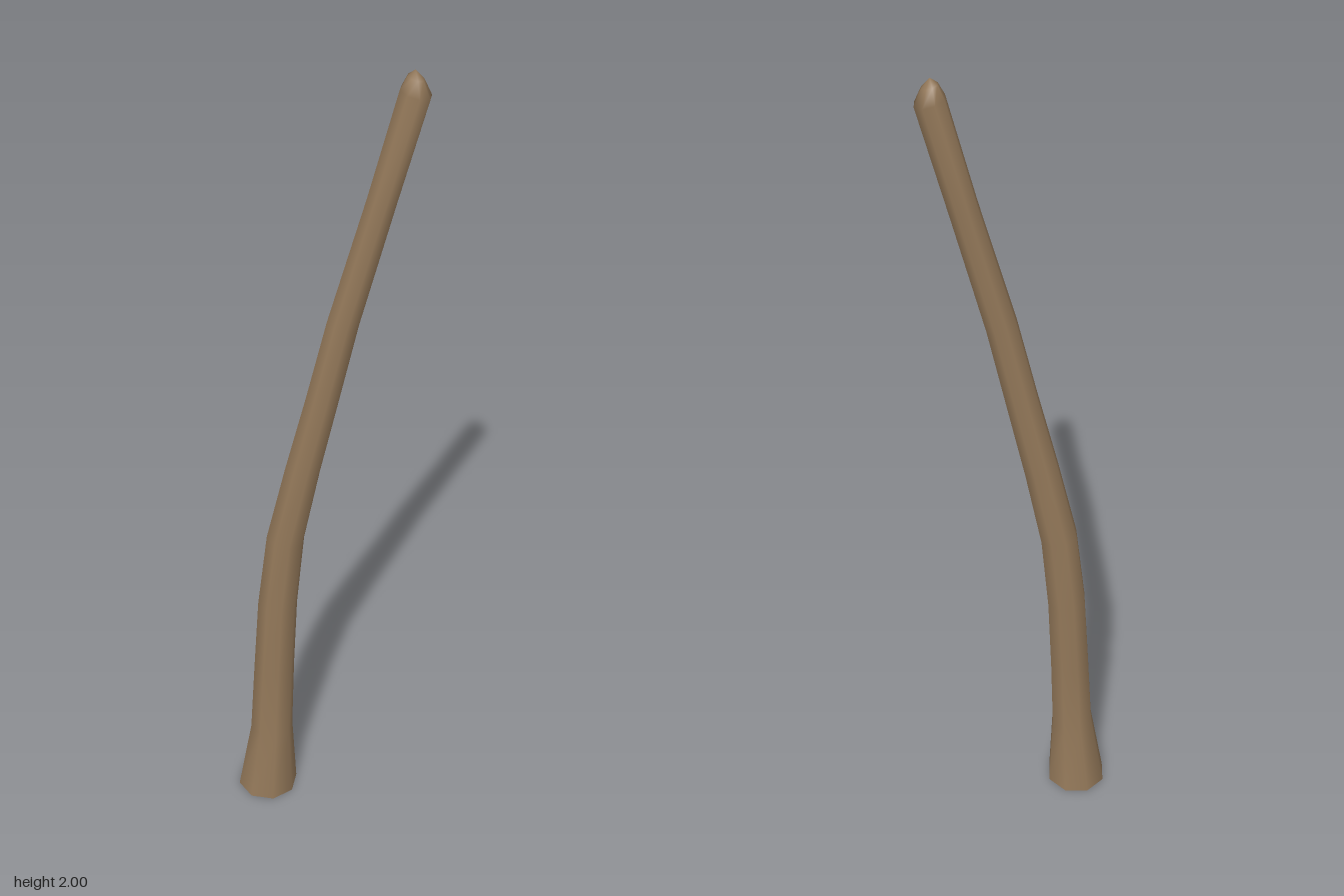
import * as THREE from 'three';

const SIDES = 8;

// Trunk cross-sections: height, centre x, centre z, radius
const RINGS = [
  [0, -0.14, -0.02, 0.075],
  [0.2, -0.128, -0.014, 0.053],
  [0.4, -0.119, -0.013, 0.05],
  [0.6, -0.108, -0.012, 0.048],
  [0.8, -0.087, -0.009, 0.045],
  [1.0, -0.047, 0.004, 0.041],
  [1.2, -0.003, 0.018, 0.038],
  [1.4, 0.04, 0.03, 0.036],
  [1.7, 0.118, 0.046, 0.033],
  [1.95, 0.18, 0.063, 0.034],
  [1.983, 0.179, 0.063, 0.018],
];
const TIP = [0.178, 2, 0.063];

function trunkGeometry() {
  const positions = [];
  const index = [];
  RINGS.forEach(([y, cx, cz, r], i) => {
    // Lean each ring with the trunk; the base stays level
    const below = RINGS[Math.max(0, Math.min(i, 9) - 1)];
    const above = RINGS[Math.min(i + 1, 9)];
    const dy = above[0] - below[0];
    const sx = i === 0 ? 0 : (above[1] - below[1]) / dy;
    const sz = i === 0 ? 0 : (above[2] - below[2]) / dy;
    for (let j = 0; j < SIDES; j++) {
      const a = (j / SIDES) * Math.PI * 2;
      const dx = r * Math.cos(a);
      const dz = r * Math.sin(a);
      positions.push(cx + dx, y - dx * sx - dz * sz, cz + dz);
    }
  });
  // Walls
  for (let i = 0; i < RINGS.length - 1; i++) {
    for (let j = 0; j < SIDES; j++) {
      const a = i * SIDES + j;
      const b = i * SIDES + ((j + 1) % SIDES);
      index.push(a, a + SIDES, b, b, a + SIDES, b + SIDES);
    }
  }
  // Rounded tip
  const last = (RINGS.length - 1) * SIDES;
  const tip = RINGS.length * SIDES;
  positions.push(...TIP);
  for (let j = 0; j < SIDES; j++) index.push(last + j, tip, last + ((j + 1) % SIDES));

  const geometry = new THREE.BufferGeometry();
  geometry.setAttribute('position', new THREE.Float32BufferAttribute(positions, 3));
  geometry.setIndex(index);
  geometry.computeVertexNormals();
  return geometry;
}

export function createModel() {
  const group = new THREE.Group();
  // Open-bottomed curved trunk
  const bark = new THREE.MeshStandardMaterial({ color: 0x94795a, side: THREE.DoubleSide });
  const trunk = new THREE.Mesh(trunkGeometry(), bark);
  trunk.name = 'trunk';
  group.add(trunk);
  return group;
}
